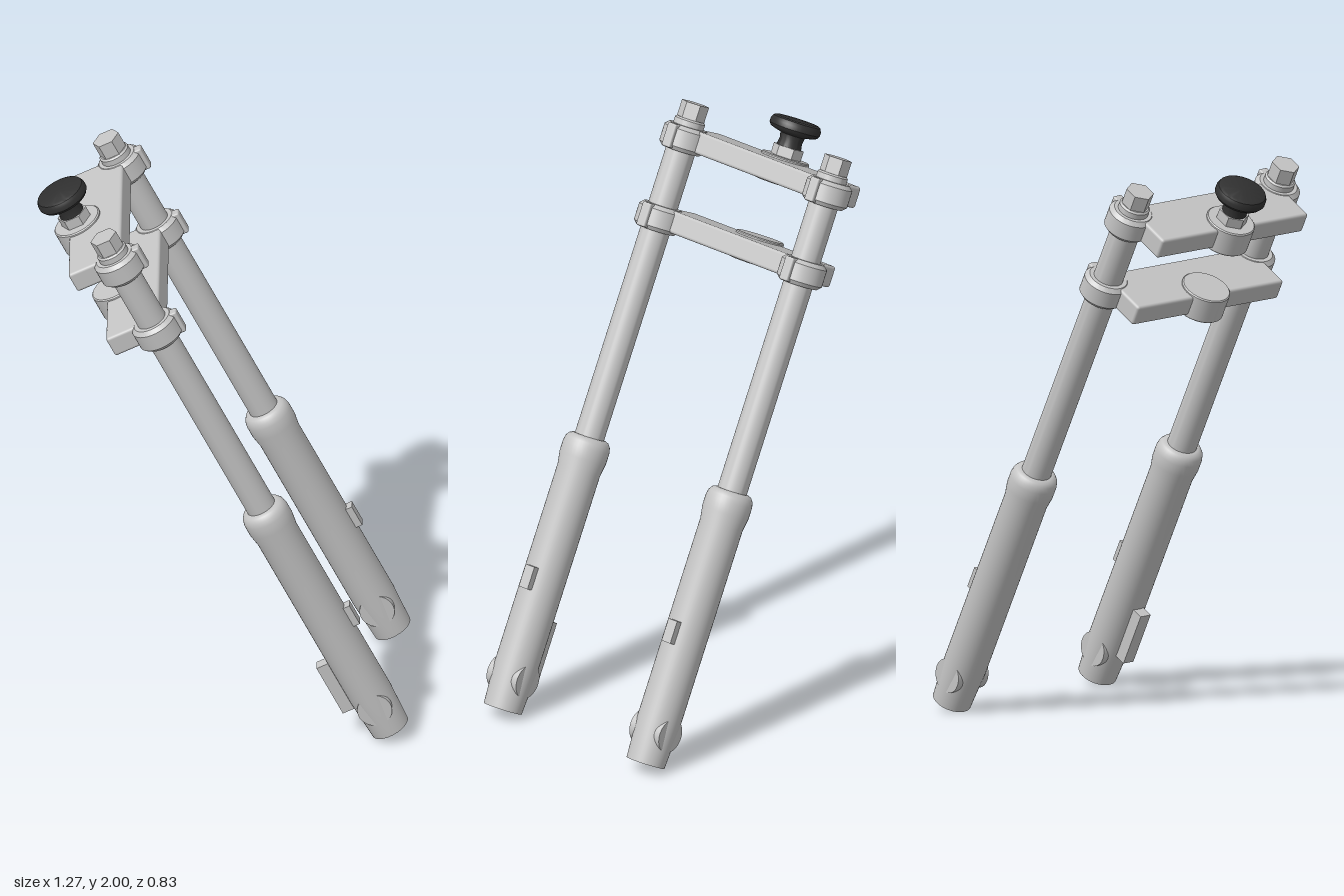
import * as THREE from 'three';
import { toCreasedNormals } from 'three/addons/utils/BufferGeometryUtils.js';
import { RoundedBoxGeometry } from 'three/addons/geometries/RoundedBoxGeometry.js';

const metal = new THREE.MeshStandardMaterial({ color: 0xc4c4c4 });
metal.name = 'light grey metal';
const black = new THREE.MeshStandardMaterial({ color: 0x303030 });
black.name = 'black plastic';

const RAKE = THREE.MathUtils.degToRad(26.8);
const LEG_Z = 0.33;    // half distance between the legs
const STEM_X = -0.145; // steering axis, behind the legs

function add(parent, name, geometry, material, x = 0, y = 0, z = 0) {
  const mesh = new THREE.Mesh(geometry, material);
  mesh.name = name;
  mesh.position.set(x, y, z);
  parent.add(mesh);
  return mesh;
}

// Turned part from [radius, height] pairs, listed from bottom to top
function turned(profile, segments = 40) {
  const points = profile.map(([r, y]) => new THREE.Vector2(r, y));
  return toCreasedNormals(new THREE.LatheGeometry(points, segments), 0.6);
}

// Disc with small bevels on both rims
function disc(r, y0, y1, b) {
  return turned([[0, y0], [r - b, y0], [r, y0 + b], [r, y1 - b], [r - b, y1], [0, y1]]);
}

// Hexagon nut with points to the front and back
function hex(r, y0, y1) {
  const geo = new THREE.CylinderGeometry(r, r, y1 - y0, 6);
  geo.rotateY(Math.PI / 6).translate(0, (y0 + y1) / 2, 0);
  return toCreasedNormals(geo, 0.6);
}

function makeLeg(side) {
  const leg = new THREE.Group();
  leg.name = side > 0 ? 'legWithMount' : 'plainLeg';
  leg.position.z = side * LEG_Z;

  // Lower slider with a flared, rounded collar
  add(leg, 'slider', turned([
    [0, 0], [0.068, 0], [0.076, 0.15], [0.076, 0.86], [0.083, 0.905], [0.083, 0.945],
    [0.079, 0.963], [0.07, 0.976], [0.058, 0.981], [0, 0.981],
  ]), metal);
  add(leg, 'upperTube', turned([[0.052, 0.95], [0.052, 2.1], [0, 2.1]]), metal);

  // Flange and hexagon cap on top
  add(leg, 'capFlange', disc(0.054, 2.09, 2.125, 0.006), metal);
  add(leg, 'capNut', hex(0.049, 2.12, 2.181), metal);

  // Axle boss crossing the foot
  const axle = new THREE.CylinderGeometry(0.06, 0.06, 0.136, 40).rotateX(Math.PI / 2);
  add(leg, 'axleBoss', axle, metal, 0, 0.116, 0);

  // Small front lug, and the rear bracket on one leg only
  add(leg, 'frontLug', new THREE.BoxGeometry(0.05, 0.08, 0.04), metal, 0.072, 0.462, 0);
  if (side > 0) {
    add(leg, 'rearBracket', new THREE.BoxGeometry(0.075, 0.2, 0.045), metal, -0.078, 0.23, 0);
  }
  return leg;
}

// Bridge between the legs: plate, stem boss and two clamp rings with lugs
function makeClamp(name, y) {
  const clamp = new THREE.Group();
  clamp.name = name;
  clamp.position.y = y;
  add(clamp, 'plate', new RoundedBoxGeometry(0.2, 0.076, 0.66, 2, 0.01), metal, -0.078, 0.003, 0);
  add(clamp, 'stemBoss', disc(0.086, -0.044, 0.05, 0.004), metal, STEM_X, 0, 0);
  for (const side of [-1, 1]) {
    add(clamp, 'clampRing', disc(0.081, -0.045, 0.043, 0.014), metal, 0, 0, side * LEG_Z);
    add(clamp, 'clampLug', new RoundedBoxGeometry(0.05, 0.084, 0.038, 2, 0.006), metal,
      0.067, 0, side * LEG_Z);
  }
  return clamp;
}

export function createModel() {
  const model = new THREE.Group();
  model.name = 'frontFork';

  // Everything is built upright on the leg axis, then leaned back
  const fork = new THREE.Group();
  fork.name = 'rakedFork';
  fork.position.set(0.573, 0.031, 0);
  fork.rotation.z = RAKE;
  model.add(fork);

  for (const side of [-1, 1]) fork.add(makeLeg(side));
  fork.add(makeClamp('lowerClamp', 1.77));
  fork.add(makeClamp('upperClamp', 2.056));

  // Stem nut and damper knob
  add(fork, 'stemNut', hex(0.054, 2.1, 2.142), metal, STEM_X, 0, 0);
  add(fork, 'damperKnob', turned([
    [0, 2.14], [0.044, 2.14], [0.04, 2.165], [0.044, 2.185], [0.07, 2.192], [0.083, 2.197],
    [0.09, 2.207], [0.09, 2.222], [0.084, 2.234], [0.074, 2.239], [0, 2.239],
  ]), black, STEM_X, 0, 0);

  return model;
}
